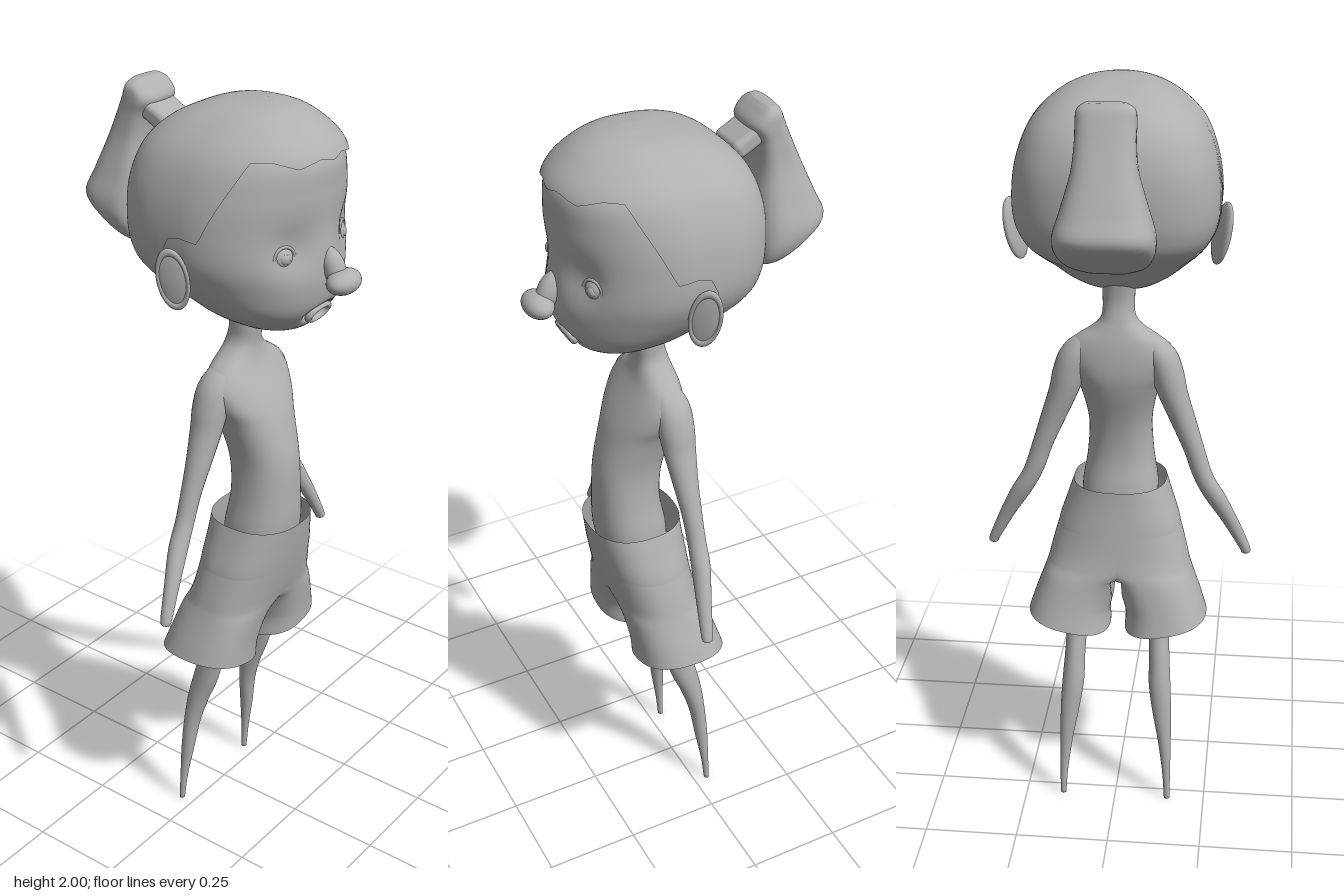
import * as THREE from 'three';
import { RoundedBoxGeometry } from 'three/addons/geometries/RoundedBoxGeometry.js';

const grey = new THREE.MeshStandardMaterial({ color: 0xb0b0b0, side: THREE.DoubleSide });
grey.name = 'plain grey';

// Smooth value of column k at fractional row t
function sample(rows, t, k) {
  const n = rows.length - 1;
  const i = Math.min(Math.floor(t), n - 1), f = t - i;
  const p = (j) => rows[Math.max(0, Math.min(n, j))][k];
  const a = p(i - 1), b = p(i), c = p(i + 1), d = p(i + 2);
  return b + 0.5 * f * (c - a + f * (2 * a - 5 * b + 4 * c - d + f * (3 * (b - c) + d - a)));
}

// Loft through rows [y, x, halfWidth, zFront, zBack], listed from top to bottom
function loft(rows, o = {}) {
  const { seg = 32, steps = 5 * (rows.length - 1), front = 2, back = 2, top = true, bottom = true, end, warp } = o;
  const pos = [], idx = [];
  const pw = (v, n) => Math.sign(v) * Math.pow(Math.abs(v), 2 / n);
  for (let i = 0; i <= steps; i++) {
    for (let j = 0; j < seg; j++) {
      const a = (j / seg) * Math.PI * 2, s = Math.sin(a), c = Math.cos(a);
      const t = (i / steps) * (end ? end(a) : rows.length - 1);
      const [y, x, w, zf, zb] = [0, 1, 2, 3, 4].map((k) => sample(rows, t, k));
      const n = c >= 0 ? front : back;
      const v = new THREE.Vector3(x + w * pw(s, n), y, (zf + zb) / 2 + ((zf - zb) / 2) * pw(c, n));
      if (warp) warp(v);
      pos.push(v.x, v.y, v.z);
    }
  }
  for (let i = 0; i < steps; i++) {
    for (let j = 0; j < seg; j++) {
      const a = i * seg + j, b = i * seg + ((j + 1) % seg);
      idx.push(a, a + seg, b, b, a + seg, b + seg);
    }
  }
  const cap = (row, up) => {
    const c = new THREE.Vector3(), m = pos.length / 3;
    for (let j = 0; j < seg; j++) c.add(new THREE.Vector3().fromArray(pos, (row * seg + j) * 3));
    c.divideScalar(seg);
    pos.push(c.x, c.y, c.z);
    for (let j = 0; j < seg; j++) {
      const a = row * seg + j, b = row * seg + ((j + 1) % seg);
      idx.push(m, up ? a : b, up ? b : a);
    }
  };
  if (top) cap(0, true);
  if (bottom) cap(steps, false);
  const g = new THREE.BufferGeometry();
  g.setAttribute('position', new THREE.Float32BufferAttribute(pos, 3));
  g.setIndex(idx);
  g.computeVertexNormals();
  return g;
}

export function createModel() {
  const model = new THREE.Group();
  const add = (name, geo, p = [0, 0, 0], r = [0, 0, 0], s = [1, 1, 1], parent = model) => {
    const m = new THREE.Mesh(geo, grey);
    m.name = name;
    m.position.set(...p);
    m.rotation.set(...r);
    m.scale.set(...s);
    parent.add(m);
    return m;
  };
  const ball = new THREE.SphereGeometry(1, 32, 20);

  // Head, with shallow eye sockets and an open mouth
  const headRows = [
    [1.993, 0, 0.015, 0.13, 0.09], [1.981, 0, 0.085, 0.19, 0.005], [1.95, 0, 0.147, 0.248, -0.077],
    [1.895, 0, 0.203, 0.3, -0.138], [1.82, 0, 0.235, 0.306, -0.168], [1.74, 0, 0.248, 0.304, -0.174],
    [1.66, 0, 0.245, 0.31, -0.166], [1.6, 0, 0.219, 0.31, -0.135], [1.54, 0, 0.174, 0.297, -0.035],
    [1.5, 0, 0.128, 0.27, 0.01], [1.47, 0, 0.075, 0.232, 0.06], [1.46, 0, 0.02, 0.19, 0.12],
  ];
  const bump = (dx, dy, rx, ry) => Math.exp(-((dx / rx) ** 2) - (dy / ry) ** 2);
  add('head', loft(headRows, {
    seg: 128, steps: 110, front: 1.92, back: 3,
    warp: (v) => {
      if (v.z < 0.12) return;
      v.z -= 0.018 * bump(Math.abs(v.x) - 0.105, v.y - 1.7, 0.05, 0.055);
      v.z -= 0.06 * bump(v.x, v.y - 1.52, 0.034, 0.017);
    },
  }));

  // Hair cap: a thin shell over the head with a wavy hairline that passes behind the ears
  const line = [[0, 3.1], [12, 2.97], [28, 3.17], [44, 2.9], [57, 2.9], [65, 3.85], [78, 5.3],
    [92, 5.2], [103, 6.8], [115, 7.6], [180, 7.2]];
  const hairline = (a) => {
    const d = THREE.MathUtils.radToDeg(Math.min(a, Math.PI * 2 - a));
    const k = Math.max(1, line.findIndex((p) => p[0] >= d - 1e-6));
    const [a0, t0] = line[k - 1], [a1, t1] = line[k];
    return t0 + ((t1 - t0) * (d - a0)) / (a1 - a0);
  };
  const hairRows = headRows.map(([y, x, w, f, b]) => [y + 0.007, x, w + 0.008, f + 0.008, b - 0.009]);
  add('hair', loft(hairRows, { seg: 128, steps: 60, front: 1.92, back: 3, bottom: false, end: hairline }));

  // Ponytail and its tie
  add('ponytail', loft([
    [2.0, 0, 0.045, -0.222, -0.25], [1.985, 0, 0.066, -0.205, -0.262], [1.955, 0, 0.07, -0.183, -0.276],
    [1.915, 0, 0.07, -0.2, -0.293], [1.85, 0, 0.077, -0.208, -0.322], [1.77, 0, 0.1, -0.198, -0.358],
    [1.71, 0, 0.118, -0.192, -0.38], [1.66, 0, 0.115, -0.19, -0.325], [1.62, 0, 0.092, -0.195, -0.262],
    [1.6, 0, 0.05, -0.205, -0.225],
  ], { seg: 48, front: 3.2, back: 2.8 }));
  add('hairTie', new RoundedBoxGeometry(0.105, 0.045, 0.08, 4, 0.015), [0, 1.918, -0.178], [0.5, 0, 0]);

  // Nose and lips
  add('noseBridge', ball, [0, 1.64, 0.318], [-0.45, 0, 0], [0.027, 0.052, 0.028]);
  add('noseTip', ball, [0, 1.612, 0.347], [0, 0, 0], [0.053, 0.03, 0.036]);
  add('lips', new THREE.TorusGeometry(0.034, 0.009, 12, 40), [0, 1.52, 0.278], [0.5, 0, 0], [1.1, 0.65, 1]);

  // Head details and limbs, mirrored left and right
  for (const s of [1, -1]) {
    const side = s > 0 ? 'left' : 'right';
    const eye = new THREE.Group();
    eye.name = side + 'Eye';
    eye.position.set(s * 0.113, 1.682, 0.25);
    eye.rotation.y = s * 0.4;
    model.add(eye);
    add('eyeball', ball, [0, 0, 0], [0, 0, 0], [0.028, 0.028, 0.02], eye);
    add('eyelidRim', new THREE.TorusGeometry(0.028, 0.004, 8, 32), [0, 0, 0.01], [0, 0, 0], [1, 1, 1], eye);
    add('iris', ball, [0, 0, 0.015], [0, 0, 0], [0.013, 0.013, 0.008], eye);

    const ear = new THREE.Group();
    ear.name = side + 'Ear';
    ear.position.set(s * 0.254, 1.626, 0.045);
    ear.rotation.set(-0.15, s * -0.5, s * -0.22);
    model.add(ear);
    add('earShell', ball, [0, 0, 0], [0, 0, 0], [0.01, 0.078, 0.038], ear);
    add('earRim', new THREE.TorusGeometry(0.9, 0.13, 10, 40), [s * 0.003, 0, 0], [0, Math.PI / 2, 0],
      [0.038, 0.079, 0.05], ear);

    const mirror = (rows) => rows.map(([y, x, ...r]) => [y, s * x, ...r]);
    add(side + 'Arm', loft(mirror([
      [1.352, 0.075, 0.015, 0.08, 0.035], [1.333, 0.094, 0.032, 0.092, 0.022], [1.3, 0.111, 0.042, 0.1, 0.01],
      [1.25, 0.127, 0.043, 0.099, 0.007],
      [1.2, 0.14, 0.04, 0.094, 0.01], [1.12, 0.17, 0.034, 0.084, 0.018], [1.04, 0.2, 0.028, 0.074, 0.022],
      [0.97, 0.224, 0.027, 0.07, 0.023], [0.91, 0.256, 0.029, 0.074, 0.027], [0.83, 0.3, 0.022, 0.083, 0.045],
      [0.75, 0.339, 0.015, 0.09, 0.06], [0.735, 0.342, 0.011, 0.087, 0.064],
    ]), { seg: 24 }));

    add(side + 'Leg', loft(mirror([
      [0.78, 0.1, 0.055, 0.14, 0.03], [0.65, 0.105, 0.042, 0.11, 0.015], [0.55, 0.111, 0.031, 0.093, 0.01],
      [0.5, 0.113, 0.028, 0.08, 0.008], [0.42, 0.117, 0.028, 0.06, -0.012], [0.35, 0.12, 0.03, 0.032, -0.027],
      [0.27, 0.128, 0.026, 0.008, -0.035], [0.18, 0.137, 0.018, -0.005, -0.041], [0.08, 0.144, 0.011, -0.022, -0.043],
      [0, 0.147, 0.008, -0.031, -0.045],
    ]), { seg: 24 }));

    // Half of the shorts: both halves share the hips, then part at the crotch into a flared leg
    // whose hem rises towards the outside
    add(side + 'Shorts', loft(mirror([
      [0.927, 0, 0.124, 0.24, 0.0], [0.88, 0, 0.14, 0.232, -0.003], [0.8, 0, 0.165, 0.217, -0.012],
      [0.74, 0.01, 0.172, 0.203, -0.02], [0.7, 0.04, 0.152, 0.192, -0.027], [0.66, 0.09, 0.113, 0.184, -0.036],
      [0.58, 0.122, 0.104, 0.174, -0.052], [0.515, 0.131, 0.111, 0.17, -0.068],
    ]), {
      seg: 64, steps: 70, front: 2.4, back: 2.4, top: false, bottom: false,
      warp: (v) => {
        if (v.y < 0.672) v.x = s * Math.max(s * v.x, 0.014);
        const low = THREE.MathUtils.clamp((0.7 - v.y) / 0.185, 0, 1);
        v.y += 0.045 * low * Math.max(0, (s * v.x - 0.02) / 0.22);
      },
    }));
  }

  // Neck, shoulders and torso
  add('torso', loft([
    [1.54, 0, 0.046, 0.11, 0.015], [1.45, 0, 0.041, 0.108, 0.028], [1.4, 0, 0.044, 0.102, 0.02],
    [1.37, 0, 0.07, 0.105, 0.012], [1.34, 0, 0.113, 0.115, 0.005], [1.3, 0, 0.136, 0.137, 0.0],
    [1.25, 0, 0.126, 0.165, 0.0], [1.2, 0, 0.104, 0.186, 0.01], [1.1, 0, 0.084, 0.213, 0.04],
    [1.0, 0, 0.088, 0.218, 0.05], [0.9, 0, 0.102, 0.215, 0.035], [0.8, 0, 0.09, 0.195, 0.03],
  ], { seg: 48, front: 2.3, back: 2.3 }));

  return model;
}
